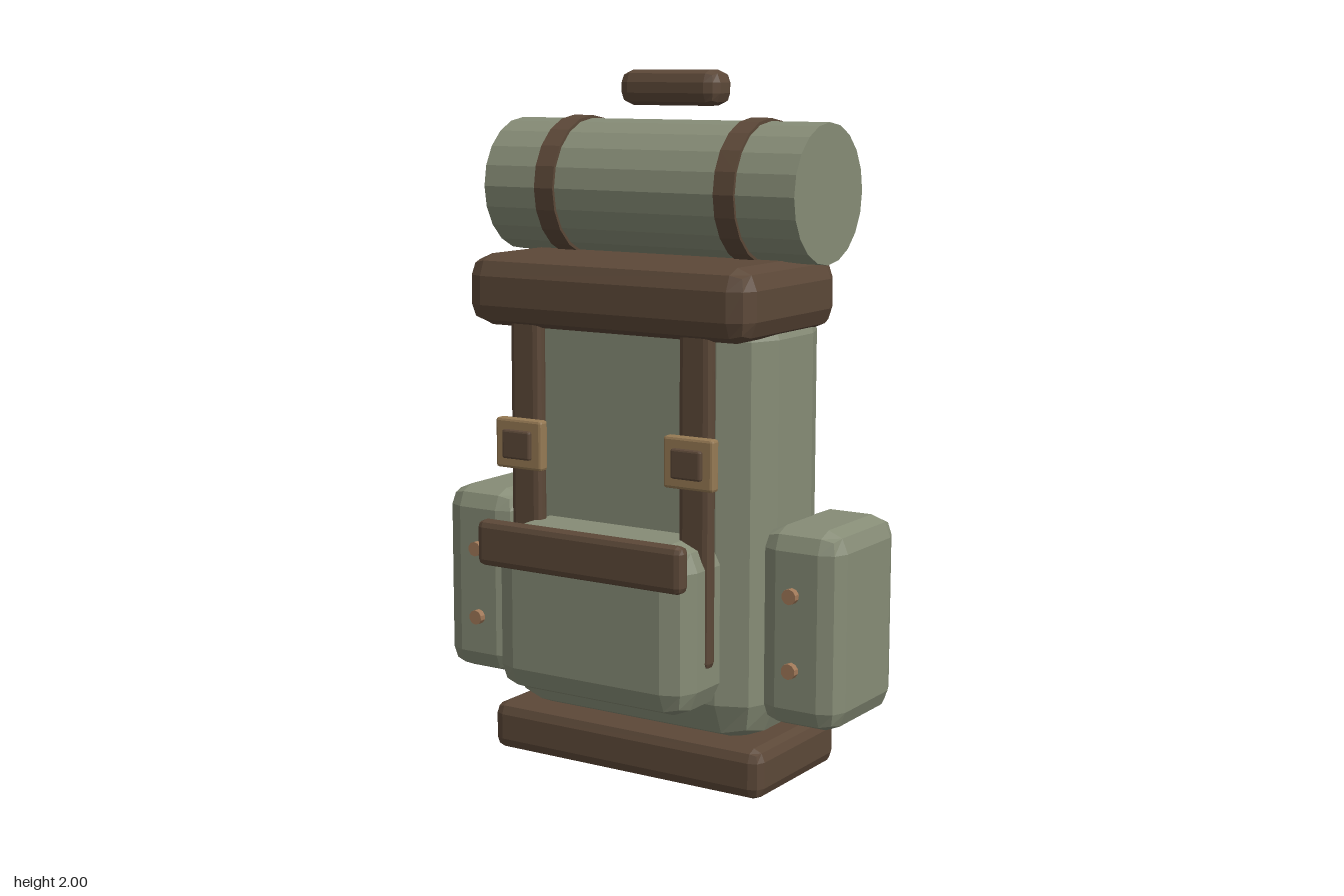
import * as THREE from 'three';
import { RoundedBoxGeometry } from 'three/addons/geometries/RoundedBoxGeometry.js';

function material(name, color) {
  const m = new THREE.MeshStandardMaterial({ color, flatShading: true });
  m.name = name;
  return m;
}

export function createModel() {
  const canvas = material('olive canvas', 0x868c76);
  const leather = material('brown leather', 0x5c4838);
  const brass = material('brass', 0x967a54);
  const copper = material('copper', 0xa07858);

  const model = new THREE.Group();
  model.name = 'backpack';

  function add(name, geometry, mat, x, y, z) {
    const mesh = new THREE.Mesh(geometry, mat);
    mesh.name = name;
    mesh.position.set(x, y, z);
    model.add(mesh);
    return mesh;
  }

  // Box given by its extents, with two-facet rounded edges
  function block(name, mat, [x0, x1], [y0, y1], [z0, z1], radius) {
    const geometry = new RoundedBoxGeometry(x1 - x0, y1 - y0, z1 - z0, 1, radius);
    return add(name, geometry, mat, (x0 + x1) / 2, (y0 + y1) / 2, (z0 + z1) / 2);
  }

  // Cylinder lying along x
  function roll(name, mat, radius, length, x) {
    const geometry = new THREE.CylinderGeometry(radius, radius, length, 20);
    geometry.rotateZ(Math.PI / 2);
    return add(name, geometry, mat, x, 1.667, -0.14);
  }

  // Main bag
  block('body', canvas, [-0.434, 0.434], [0.13, 1.4], [-0.331, 0.109], 0.125);
  block('base', leather, [-0.457, 0.457], [0, 0.145], [-0.337, 0.118], 0.035);
  block('lid', leather, [-0.465, 0.465], [1.282, 1.485], [-0.308, 0.222], 0.06);

  // Front pocket and its closing band
  block('frontPocket', canvas, [-0.322, 0.322], [0.247, 0.732], [0.03, 0.297], 0.075);
  block('frontPocketBand', leather, [-0.34, 0.34], [0.618, 0.75], [0.289, 0.341], 0.02);

  // Bedroll and carrying handle
  roll('bedroll', canvas, 0.194, 1.026, 0);
  block('handle', leather, [-0.162, 0.162], [1.9, 2], [-0.228, -0.112], 0.035);

  for (const side of [-1, 1]) {
    const label = side > 0 ? 'left' : 'right';
    const span = (centre, width) => [side * centre - width / 2, side * centre + width / 2];

    roll(label + 'BedrollStrap', leather, 0.203, 0.064, side * 0.298);

    // Front strap with buckle
    block(label + 'FrontStrap', leather, span(0.282, 0.1), [0.375, 1.36], [0.137, 0.186], 0.018);
    block(label + 'Buckle', brass, span(0.283, 0.158), [0.88, 1.024], [0.178, 0.214], 0.008);
    block(label + 'BuckleCentre', leather, span(0.283, 0.095), [0.91, 0.993], [0.2, 0.228], 0.006);

    // Side pocket with two rivets
    block(label + 'SidePocket', canvas, span(0.542, 0.25), [0.21, 0.772], [-0.302, 0.07], 0.06);
    for (const y of [0.385, 0.594]) {
      const rivet = new THREE.CylinderGeometry(0.022, 0.022, 0.02, 10);
      rivet.rotateX(Math.PI / 2);
      add(label + 'Rivet', rivet, copper, side * 0.534, y, 0.088);
    }
  }
  return model;
}
